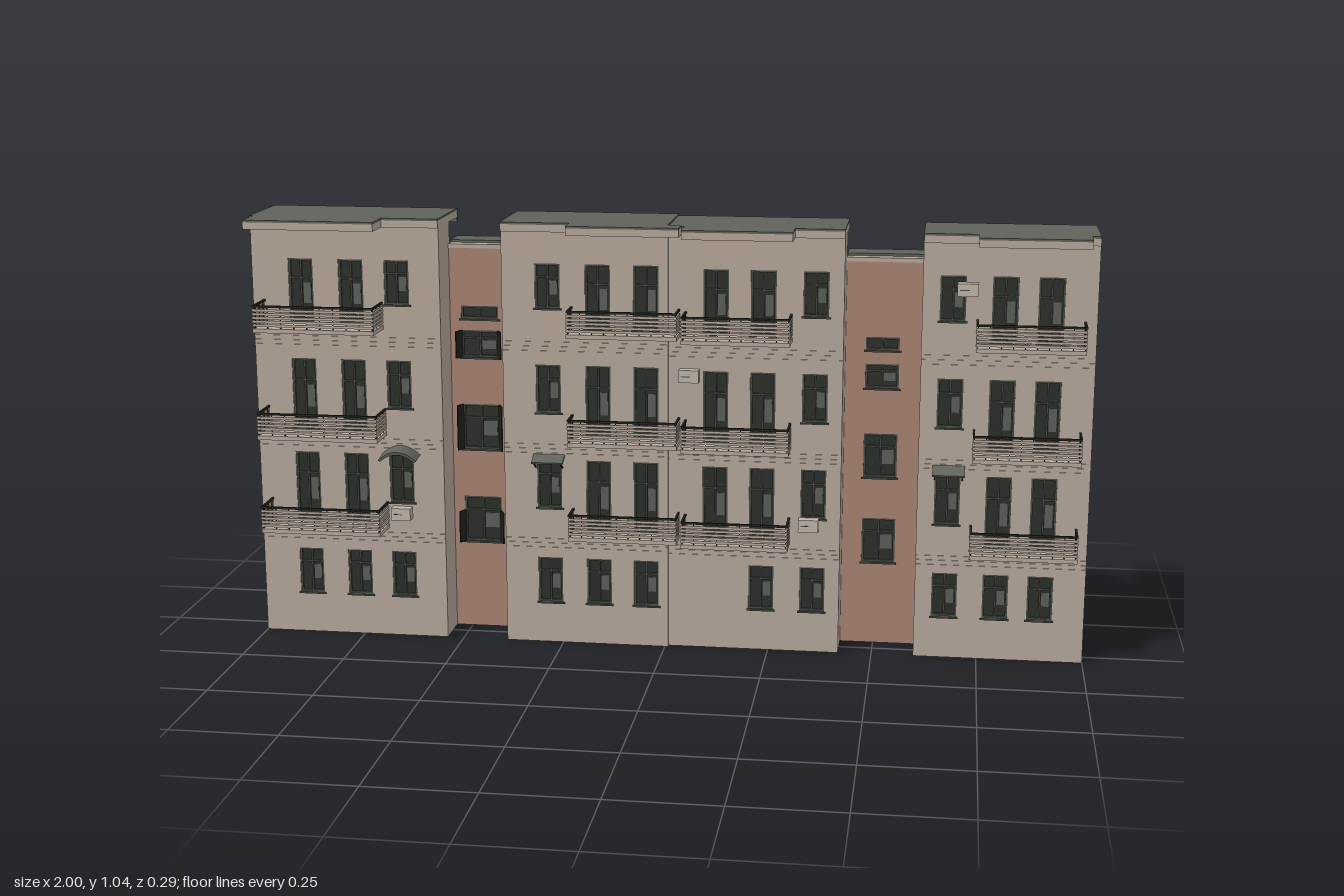
import * as THREE from 'three';

const mat = (name, color, side = THREE.FrontSide) => {
  const m = new THREE.MeshStandardMaterial({ color, side });
  m.name = name;
  return m;
};

export function createModel() {
  const root = new THREE.Group();
  root.name = 'apartmentFacade';
  const plaster = mat('beigePlaster', 0xb9ab9d);
  const brick = mat('terracotta', 0xa98572);
  const roofing = mat('roofGrey', 0x60635a);
  const glass = mat('darkGlass', 0x2b2f29);
  const frame = mat('windowFrame', 0x454b44);
  const pane = mat('paleGlass', 0x5c615a);
  const iron = mat('darkIron', 0x20231f);
  const unit = mat('airConditionerBeige', 0xc3b8ab);
  const T = 0.014; // wall thickness

  const group = (name, parent = root) => {
    const g = new THREE.Group();
    g.name = name;
    parent.add(g);
    return g;
  };
  // Box given by its limits
  const box = (parent, name, m, x0, x1, y0, y1, z0, z1) => {
    const b = new THREE.Mesh(new THREE.BoxGeometry(x1 - x0, y1 - y0, z1 - z0), m);
    b.position.set((x0 + x1) / 2, (y0 + y1) / 2, (z0 + z1) / 2);
    b.name = name;
    parent.add(b);
    return b;
  };

  // Wall sheet with rectangular openings [centre x, bottom, top, width]
  const wall = (parent, name, m, x0, x1, top, zf, openings) => {
    const rect = (C, a, b, c, d) => {
      const s = new C();
      s.moveTo(a, c); s.lineTo(b, c); s.lineTo(b, d); s.lineTo(a, d); s.closePath();
      return s;
    };
    const shape = rect(THREE.Shape, x0, x1, 0, top);
    for (const [x, y0, y1, w] of openings) shape.holes.push(rect(THREE.Path, x - w / 2, x + w / 2, y0, y1));
    const mesh = new THREE.Mesh(new THREE.ExtrudeGeometry(shape, { depth: T, bevelEnabled: false }), m);
    mesh.position.z = zf - T;
    mesh.name = name;
    parent.add(mesh);
    openings.forEach((o) => windowUnit(parent, o, zf));
  };

  // Glass, frame bars and sill in one opening
  const windowUnit = (parent, [x, y0, y1, w], zf) => {
    const g = group('window', parent), a = x - w / 2, b = x + w / 2, f = 0.005;
    const z0 = zf - 0.008, z1 = zf - 0.003, h = y1 - y0;
    box(g, 'glass', glass, a, b, y0, y1, zf - 0.011, z0);
    box(g, 'jamb', frame, a, a + f, y0, y1, z0, z1);
    box(g, 'jamb', frame, b - f, b, y0, y1, z0, z1);
    box(g, 'head', frame, a, b, y1 - f, y1, z0, z1);
    box(g, 'bottomRail', frame, a, b, y0, y0 + f, z0, z1);
    box(g, 'mullion', frame, x - 0.002, x + 0.002, y0, y1, z0, z1);
    if (h > 0.05) {
      box(g, 'transom', frame, a, b, y0 + h * 0.68, y0 + h * 0.68 + 0.004, z0, z1);
      box(g, 'pane', pane, x + 0.004, b - f - 0.003, y0 + h * 0.3, y0 + h * 0.62, z0, z0 + 0.001);
    }
    box(g, 'sill', frame, a - 0.004, b + 0.004, y0 - 0.004, y0, zf - 0.006, zf + 0.004);
  };

  // Balcony: slab, horizontal slats, posts and dark handrail
  const balcony = (parent, x0, x1, y, z0, z1) => {
    const g = group('balcony', parent), h = 0.066, t = 0.004;
    const ring = (name, m, a, b, d) => {
      box(g, name, m, x0, x1, a, b, z1 - d, z1);
      box(g, name, m, x0, x0 + d, a, b, z0, z1 - d);
      box(g, name, m, x1 - d, x1, a, b, z0, z1 - d);
    };
    box(g, 'slab', plaster, x0, x1, y, y + 0.01, z0, z1);
    for (let i = 0; i < 5; i++) ring('slat', plaster, y + 0.015 + i * 0.009, y + 0.021 + i * 0.009, 0.003);
    ring('handrail', iron, y + h - 0.005, y + h, 0.005);
    const n = 9;
    for (let i = 0; i <= n; i++) {
      const x = x0 + 0.003 + (i / n) * (x1 - x0 - 0.006 - 0.002);
      box(g, 'post', iron, x, x + 0.002, y + 0.01, y + h, z1 - t - 0.002, z1 - 0.003);
    }
    for (const x of [x0 + 0.003, x1 - 0.005])
      for (let i = 0; i < 3; i++) {
        const z = z0 + ((i + 0.5) / 3) * (z1 - z0);
        box(g, 'post', iron, x, x + 0.002, y + 0.01, y + h, z, z + 0.002);
      }
  };

  // Roof: beige eaves under a thin grey sheet, deeper over the balconies
  const roof = (parent, x0, x1, top, zf, bx0, bx1, bz) => {
    const g = group('roof', parent);
    const layer = (name, m, a, b) => {
      box(g, name, m, x0, x1, a, b, -0.138, zf);
      box(g, name + 'OverBalcony', m, bx0, bx1, a, b, zf, bz);
    };
    layer('eaves', plaster, top - 0.022, top - 0.005);
    layer('roofSheet', roofing, top - 0.005, top);
    box(g, 'rearGutter', roofing, x0, x1, top - 0.034, top, -0.145, -0.138);
  };

  const W = 0.06;
  const sections = [
    { name: 'leftmostBlock', x0: -1, x1: -0.54, top: 1.036, zf: 0.055, end: -1, inner: 1,
      doors: [-0.88, -0.757], wins: [-0.645], ground: [-0.88, -0.757, -0.645], drop: 0, bal: [-0.975, -0.68, 0.143] },
    { name: 'centreBlockA', x0: -0.39, x1: 0.008, top: 1.032, zf: 0.055, inner: -1,
      doors: [-0.16, -0.045], wins: [-0.28], ground: [-0.28, -0.16, -0.045], drop: 0, bal: [-0.225, 0.036, 0.118] },
    { name: 'centreBlockB', x0: 0.008, x1: 0.42, top: 1.028, zf: 0.045, inner: 1,
      doors: [0.12, 0.232], wins: [0.355], ground: [0.232, 0.355], drop: 0.007, bal: [0.046, 0.3, 0.12] },
    { name: 'rightmostBlock', x0: 0.6, x1: 1, top: 1.022, zf: 0.042, end: 1, inner: -1,
      doors: [0.79, 0.895], wins: [0.67], ground: [0.67, 0.79, 0.895], drop: 0.01, bal: [0.725, 0.975, 0.111] },
  ];
  const floors = [[0.275, 0.34, 0.46], [0.507, 0.575, 0.692], [0.768, 0.828, 0.935]];

  for (const s of sections) {
    const g = group(s.name), open = s.ground.map((x) => [x, 0.102, 0.215 - s.drop / 2, W]);
    for (const [slab, sill, head] of floors) {
      s.doors.forEach((x) => open.push([x, slab + 0.012 - s.drop, head - s.drop, W]));
      s.wins.forEach((x) => open.push([x, sill - s.drop, head - s.drop, W]));
      balcony(g, s.bal[0], s.bal[1], slab - s.drop, s.zf, s.bal[2]);
    }
    const wallTop = s.top - 0.022;
    wall(g, 'frontWall', plaster, s.x0, s.x1, wallTop, s.zf, open);
    // Thin string courses between storeys
    for (const y of [0.25, 0.485, 0.735])
      for (const d of [-0.011, 0, 0.011])
        box(g, 'stringCourse', plaster, s.x0, s.x1, y + d - 0.002 - s.drop, y + d + 0.002 - s.drop, s.zf, s.zf + 0.002);
    // Return walls toward the stair recesses and the outer gables
    const side = (name, dir, zb) => {
      const x = dir > 0 ? s.x1 - T : s.x0;
      box(g, name, plaster, x, x + T, 0, wallTop, zb, s.zf - T);
    };
    side('returnWall', s.inner, -0.055);
    if (s.end) side('gableWall', s.end, -0.132);
    roof(g, s.x0, s.x1, s.top, s.zf + 0.006, s.bal[0] - (s.end === -1 ? 0.015 : 0), s.bal[1] + 0.004, s.bal[2] - 0.004);
  }

  // Recessed stair towers
  const stairs = [
    { x0: -0.54, x1: -0.39, top: 0.965, o: [[0.78, 0.812], [0.685, 0.752], [0.455, 0.568], [0.22, 0.335]], w: 0.092, c: -0.467 },
    { x0: 0.42, x1: 0.6, top: 0.952, o: [[0.728, 0.76], [0.636, 0.695], [0.417, 0.525], [0.205, 0.315]], w: 0.08, c: 0.508 },
  ];
  for (const s of stairs) {
    const g = group('stairTower');
    wall(g, 'stairWall', brick, s.x0, s.x1, s.top - 0.012, -0.045, s.o.map(([a, b]) => [s.c, a, b, s.w]));
    box(g, 'stairCap', plaster, s.x0, s.x1, s.top - 0.012, s.top - 0.002, -0.132, -0.042);
    box(g, 'stairRoof', roofing, s.x0, s.x1, s.top - 0.002, s.top + 0.004, -0.138, -0.07);
    box(g, 'stairGutter', roofing, s.x0, s.x1, s.top - 0.02, s.top + 0.004, -0.142, -0.132);
  }
  // Open casements on the left stair tower
  for (const [y0, y1] of [[0.685, 0.752], [0.455, 0.568], [0.22, 0.3]])
    for (const d of [-1, 1]) {
      const sash = box(root, 'openCasement', iron, -0.012, 0.012, y0, y1, -0.0015, 0.0015);
      sash.position.x = -0.467 + d * 0.05;
      sash.position.z = -0.034;
      sash.rotation.y = -d * 1.1;
    }

  // Air conditioners
  for (const [x, y, z] of [[0.058, 0.675, 0.045], [-0.645, 0.315, 0.055], [0.345, 0.32, 0.045], [0.703, 0.895, 0.042]]) {
    const g = group('airConditioner');
    box(g, 'casing', unit, x - 0.024, x + 0.024, y - 0.015, y + 0.015, z, z + 0.024);
    box(g, 'grille', frame, x - 0.018, x + 0.004, y - 0.001, y + 0.001, z + 0.024, z + 0.025);
  }

  // Sloped canopies on brackets
  for (const [x, z, d] of [[-0.28, 0.055, 0.035], [0.672, 0.042, 0.04]]) {
    const g = group('flatCanopy');
    const c = box(g, 'canopySheet', roofing, x - 0.038, x + 0.038, 0.462, 0.467, z, z + d);
    c.rotation.x = 0.4;
    for (const k of [-0.034, 0.031]) {
      const b = box(g, 'bracket', iron, x + k, x + k + 0.003, 0.447, 0.45, z, z + d * 0.9);
      b.rotation.x = -0.5;
    }
  }
  // Arched canopy
  const arch = new THREE.Shape();
  arch.moveTo(-0.047, 0);
  arch.quadraticCurveTo(0, 0.046, 0.047, 0);
  arch.lineTo(0.042, -0.003);
  arch.quadraticCurveTo(0, 0.034, -0.042, -0.003);
  const canopy = new THREE.Mesh(new THREE.ExtrudeGeometry(arch, { depth: 0.045, bevelEnabled: false, curveSegments: 10 }), roofing);
  canopy.position.set(-0.645, 0.461, 0.055);
  canopy.rotation.x = 0.15;
  canopy.name = 'archedCanopy';
  root.add(canopy);

  return root;
}
